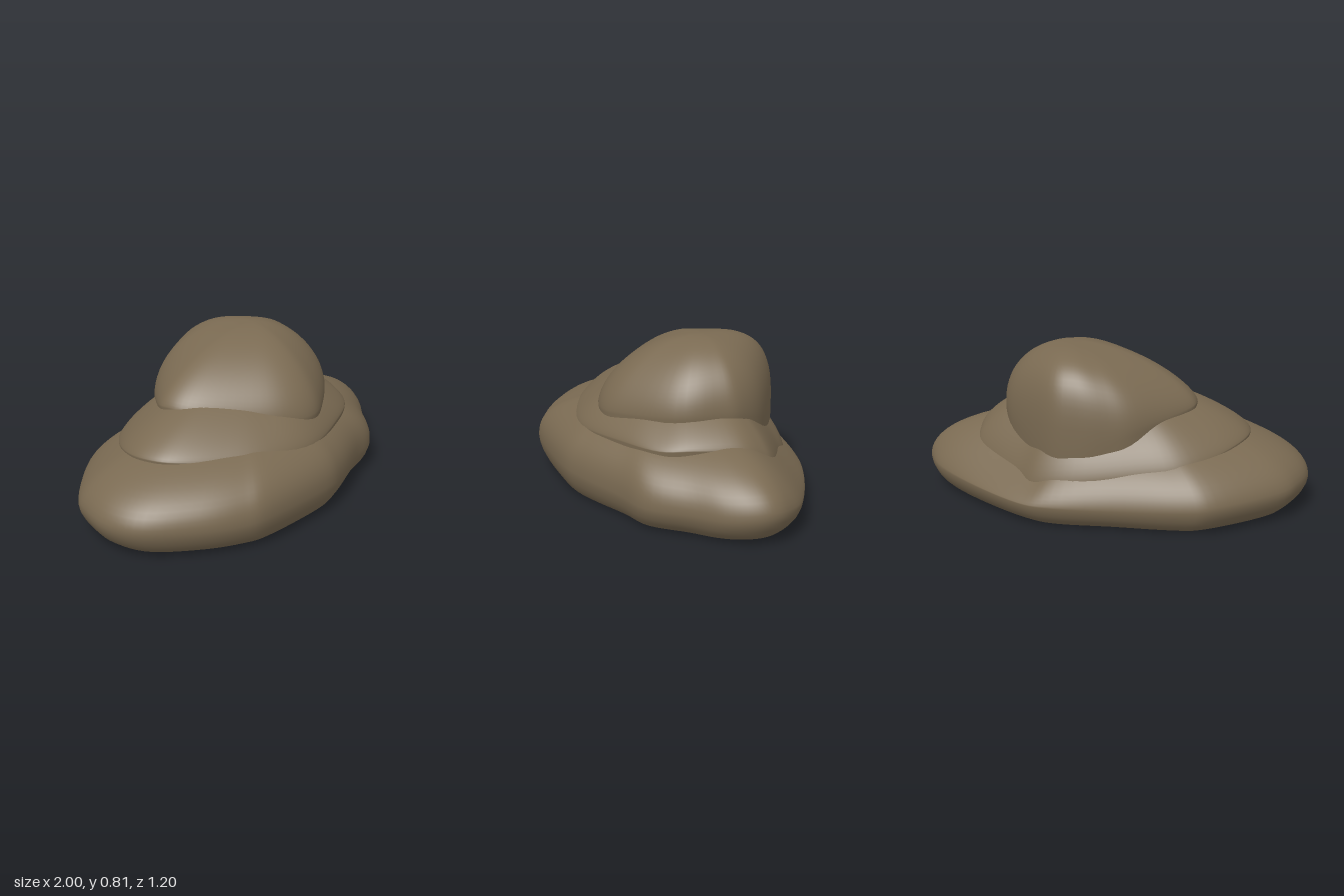
import * as THREE from 'three';
import { mergeVertices } from 'three/addons/utils/BufferGeometryUtils.js';

// Rim points of each layer, clockwise from above: [x, z, rim height, roundness]
const BASE = [
  [-1, 0, 0.15, 2], [-0.96, -0.17, 0.15, 2], [-0.87, -0.31, 0.14, 1.9], [-0.6, -0.52, 0.13, 1.8],
  [-0.43, -0.565, 0.12, 1.75], [-0.1, -0.58, 0.11, 1.7], [0.2, -0.6, 0.11, 1.5], [0.37, -0.56, 0.11, 1.25],
  [0.63, -0.41, 0.12, 1.3], [0.87, -0.23, 0.13, 1.6], [0.97, -0.1, 0.14, 1.9], [1, 0, 0.15, 2],
  [0.97, 0.1, 0.14, 2.05], [0.89, 0.2, 0.13, 2.05], [0.76, 0.3, 0.13, 2.1], [0.58, 0.45, 0.13, 2.2],
  [0.38, 0.495, 0.14, 2.4], [0.12, 0.57, 0.15, 2.4], [-0.07, 0.595, 0.16, 2.4], [-0.45, 0.55, 0.16, 2.3],
  [-0.6, 0.49, 0.15, 2.2], [-0.77, 0.37, 0.15, 2.1], [-0.95, 0.18, 0.15, 2],
];
const MIDDLE = [
  [-0.7, 0, 0.38, 1.4], [-0.69, -0.13, 0.37, 1.4], [-0.6, -0.28, 0.34, 1.4], [-0.43, -0.44, 0.28, 1.5],
  [-0.2, -0.49, 0.25, 1.5], [0.1, -0.53, 0.21, 1.5], [0.3, -0.5, 0.18, 1.5], [0.43, -0.4, 0.18, 1.5],
  [0.65, -0.22, 0.26, 1.5], [0.69, -0.12, 0.32, 1.5], [0.68, 0, 0.36, 1.5], [0.6, 0.2, 0.37, 1.4],
  [0.5, 0.33, 0.36, 1.3], [0.3, 0.42, 0.36, 1.4], [-0.03, 0.49, 0.35, 1.5], [-0.3, 0.41, 0.36, 1.4],
  [-0.5, 0.27, 0.37, 1.4], [-0.65, 0.12, 0.38, 1.4],
];
const TOP = [
  [-0.44, -0.1, 0.53, 1.5], [-0.4, -0.2, 0.51, 1.6], [-0.2, -0.4, 0.45, 2.1], [-0.05, -0.46, 0.4, 2.7],
  [0.1, -0.48, 0.36, 3.3], [0.25, -0.45, 0.37, 3.2], [0.47, -0.26, 0.43, 2.4], [0.55, -0.1, 0.48, 2.1],
  [0.54, 0.02, 0.49, 2], [0.45, 0.22, 0.48, 1.8], [0.2, 0.38, 0.46, 1.65], [0.05, 0.42, 0.45, 1.65],
  [-0.1, 0.36, 0.46, 1.65], [-0.25, 0.22, 0.48, 1.6], [-0.4, 0.03, 0.52, 1.5],
];
const STEPS = 5;

// Closed smooth curve through the rim points
function smoothLoop(points) {
  const n = points.length, out = [];
  for (let i = 0; i < n; i++) {
    const [a, b, c, d] = [-1, 0, 1, 2].map(k => points[(i + k + n) % n]);
    for (let s = 0; s < STEPS; s++) {
      const t = s / STEPS;
      out.push(b.map((v, k) => v + 0.5 * t * (c[k] - a[k] +
        t * (2 * a[k] - 5 * v + 4 * c[k] - d[k] + t * (3 * (v - c[k]) + d[k] - a[k])))));
    }
  }
  return out;
}

// Skin over rings that end in a single point; flip for a surface facing down
function skin(rings, flip = false) {
  const n = rings[0].length, index = [];
  const face = (a, b, c) => index.push(a, ...(flip ? [c, b] : [b, c]));
  for (let r = 0; r < rings.length - 1; r++) {
    for (let i = 0; i < n; i++) {
      const a = r * n + i, b = r * n + (i + 1) % n;
      face(a, b + n, b);
      if (r < rings.length - 2) face(a, a + n, b + n);
    }
  }
  const g = new THREE.BufferGeometry();
  g.setAttribute('position', new THREE.Float32BufferAttribute(rings.flat(2), 3));
  g.setIndex(index);
  const merged = mergeVertices(g, 1e-5);
  merged.computeVertexNormals();
  return merged;
}

// Domed layer rising from its rim to a peak, with rings below the rim
function layer(loop, [px, py, pz], lowerRings) {
  const rings = [...lowerRings];
  const K = 20;
  for (let k = 0; k < K; k++) {
    const s = Math.cos(k / K * Math.PI / 2);
    rings.push(loop.map(([x, z, y, roundness]) => {
      const n = 2 + (roundness - 2) * Math.sqrt(s);
      const h = Math.pow(1 - Math.pow(s, n), 1 / n);
      return [px + (x - px) * s, y + (py - y) * h, pz + (z - pz) * s];
    }));
  }
  // all points of the last ring meet at the peak
  rings.push(loop.map(() => [px, py, pz]));
  return skin(rings);
}

export function createModel() {
  const group = new THREE.Group();
  const earth = new THREE.MeshStandardMaterial({ color: 0x7a6a52 });
  earth.name = 'earthBrown';
  const add = (geometry, name) => {
    const mesh = new THREE.Mesh(geometry, earth);
    mesh.name = name;
    group.add(mesh);
  };

  // Wide base with an edge tucked under to the ground
  const base = smoothLoop(BASE);
  const under = [];
  for (let k = 0; k < 6; k++) {
    const a = (1 - k / 6) * Math.PI / 2;
    const s = 0.85 + 0.15 * Math.cos(a) ** 1.2;
    const drop = Math.sin(a) ** 1.2;
    under.push(base.map(([x, z, y]) => [x * s, y * (1 - drop), z * s]));
  }
  add(layer(base, [0, 0.46, 0], under), 'baseMound');

  // Underside with a shallow hollow in the middle
  const hollow = [1, 0.8, 0.7, 0.6, 0.5, 0.4, 0.3, 0.2, 0.1, 0].map(s => {
    const y = 0.08 * (1 - THREE.MathUtils.smoothstep(s, 0.1, 0.7));
    return base.map(([x, z]) => [x * 0.85 * s, y, z * 0.85 * s]);
  });
  add(skin(hollow, true), 'underside');

  // Upper layers, each with a skirt sunk into the one below
  const skirt = loop => [loop.map(([x, z, y]) => [x * 0.99, y - 0.08, z * 0.99])];
  const middle = smoothLoop(MIDDLE);
  add(layer(middle, [0.05, 0.63, -0.03], skirt(middle)), 'middleMound');
  const top = smoothLoop(TOP);
  add(layer(top, [0.2, 0.815, -0.07], skirt(top)), 'topMound');

  return group;
}
